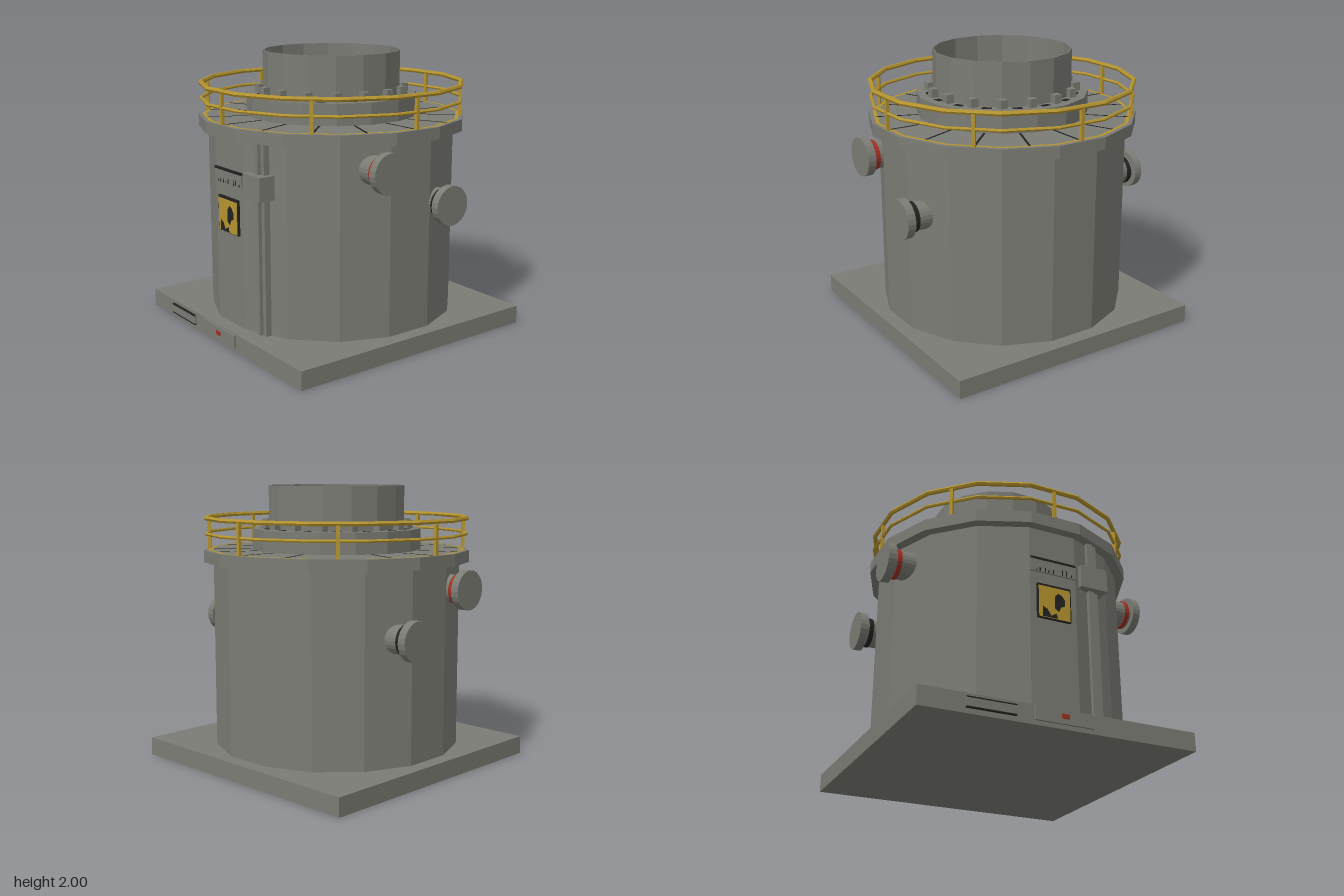
import * as THREE from 'three';

const SIDES = 16;
const STEP = (Math.PI * 2) / SIDES;

export function createModel() {
  const model = new THREE.Group();
  const body = new THREE.Group();
  body.name = 'tankAssembly';
  body.position.z = -0.0125;
  model.add(body);

  const mat = (name, color) => Object.assign(new THREE.MeshStandardMaterial({ color }), { name });
  const grey = mat('weathered grey', 0x7b7c74);
  const yellow = mat('safety yellow', 0xb5942f);
  const dark = mat('near black', 0x222222);
  const red = mat('signal red', 0xa03022);

  // One normal per face, for crisp facets
  const facet = (geo) => {
    const g = geo.index ? geo.toNonIndexed() : geo;
    g.computeVertexNormals();
    return g;
  };
  const add = (name, geo, material, parent = body) => {
    const mesh = new THREE.Mesh(geo, material);
    mesh.name = name;
    parent.add(mesh);
    return mesh;
  };
  // Box given by its limits
  const box = (name, x0, x1, y0, y1, z0, z1, material, parent) => {
    const mesh = add(name, new THREE.BoxGeometry(x1 - x0, y1 - y0, z1 - z0), material, parent);
    mesh.position.set((x0 + x1) / 2, (y0 + y1) / 2, (z0 + z1) / 2);
    return mesh;
  };
  // Sixteen-sided drum with a flat side to the front
  const drum = (name, r, y0, y1) => {
    const geo = new THREE.CylinderGeometry(r, r, y1 - y0, SIDES, 1, false, STEP / 2);
    add(name, facet(geo), grey).position.y = (y0 + y1) / 2;
  };

  // Main volumes
  box('basePlate', -0.977, 0.977, 0, 0.13, -0.977, 0.977, grey);
  drum('tank', 0.89, 0.13, 1.46);
  drum('deck', 0.958, 1.46, 1.545);
  drum('topFlange', 0.612, 1.545, 1.695);

  // Open neck with a thin wall
  const wall = [[0.492, 1.695], [0.492, 2], [0.484, 2], [0.484, 1.695]];
  add('neck', facet(new THREE.LatheGeometry(
    wall.map(([r, y]) => new THREE.Vector2(r, y)), SIDES, STEP / 2)), grey);

  // Bolts, dark slots and deck seams around the neck
  for (let i = 0; i < SIDES; i++) {
    const a = i * STEP;
    const bolt = add('flangeBolt', new THREE.BoxGeometry(0.056, 0.06, 0.056), grey);
    bolt.position.set(0.515 * Math.sin(a + STEP / 2), 1.725, 0.515 * Math.cos(a + STEP / 2));

    const slot = add('flangeSlot', new THREE.BoxGeometry(0.066, 0.002, 0.042), dark);
    slot.position.set(0.523 * Math.sin(a), 1.695, 0.523 * Math.cos(a));
    slot.rotation.y = a;

    const seam = add('deckSeam', new THREE.BoxGeometry(0.016, 0.002, 0.3), dark);
    seam.position.set(0.755 * Math.sin(a), 1.545, 0.755 * Math.cos(a));
    seam.rotation.y = a;
  }

  // Railing
  const railing = new THREE.Group();
  railing.name = 'railing';
  body.add(railing);
  for (const [name, y, tube] of [['topRail', 1.77, 0.017], ['midRail', 1.66, 0.012]]) {
    const ring = new THREE.TorusGeometry(0.938, tube, 6, SIDES);
    ring.rotateX(Math.PI / 2).rotateY(STEP / 2);
    add(name, facet(ring), yellow, railing).position.y = y;
  }
  for (let i = 0; i < 8; i++) {
    const a = (i * Math.PI) / 4;
    const post = add('railPost', new THREE.BoxGeometry(0.024, 0.225, 0.024), yellow, railing);
    post.position.set(0.92 * Math.sin(a), 1.6575, 0.92 * Math.cos(a));
    post.rotation.y = a;
  }
  const edge = new THREE.RingGeometry(0.905, 0.93, SIDES, 1, STEP / 2);
  add('deckEdgeStripe', edge.rotateX(-Math.PI / 2), yellow, railing).position.y = 1.546;

  // Side nozzles, the same on both sides
  const nozzle = (side, y, z, bandMaterial) => {
    const group = new THREE.Group();
    group.name = 'nozzle';
    group.position.set(0, y, z);
    body.add(group);
    const disc = (name, r, x0, x1, material) => {
      const geo = new THREE.CylinderGeometry(r, r, x1 - x0, 24).rotateZ(Math.PI / 2);
      add(name, facet(geo), material, group).position.x = (side * (x0 + x1)) / 2;
    };
    disc('nozzlePipe', 0.1, 0.72, 0.95, grey);
    disc('nozzleBand', 0.106, 0.893, 0.925, bandMaterial);
    disc('nozzleCap', 0.138, 0.942, 1, grey);
  };
  for (const side of [-1, 1]) {
    nozzle(side, 1.295, 0.28, red);
    nozzle(side, 1.005, -0.265, dark);
  }

  // Conduits and junction box
  box('conduitLeft', 0.335, 0.37, 0.13, 1.46, 0.76, 0.835, grey);
  box('conduitRight', 0.288, 0.33, 0.13, 1.46, 0.77, 0.857, grey);
  box('junctionBox', 0.207, 0.412, 1.085, 1.25, 0.78, 0.898, grey);

  // Warning sign with dark marks
  box('signBacking', -0.125, 0.125, 0.79, 1.04, 0.87, 0.89, dark);
  box('signFace', -0.116, 0.116, 0.795, 1.023, 0.888, 0.894, yellow);
  const marks = [
    [[0, 0.87], [0.03, 0.85], [0.045, 0.885], [0.075, 0.9], [0.078, 0.94], [0.055, 0.975], [0.025, 0.985], [0.003, 0.96]],
    [[-0.09, 0.797], [0.02, 0.797], [0.01, 0.835], [-0.03, 0.81], [-0.055, 0.855], [-0.09, 0.872]],
  ];
  for (const points of marks) {
    const shape = new THREE.Shape(points.map(([x, y]) => new THREE.Vector2(x, y)));
    add('signMark', new THREE.ShapeGeometry(shape), dark).position.z = 0.8955;
  }

  // Upper name plate with a dark top edge and small ticks
  box('upperPlate', -0.17, 0.17, 1.13, 1.235, 0.865, 0.885, grey);
  box('upperPlateEdge', -0.17, 0.17, 1.22, 1.236, 0.866, 0.888, dark);
  [[-0.125, 0.01], [-0.1, 0.025], [-0.06, 0.03], [-0.035, 0.015], [0.0, 0.03], [0.07, 0.04], [0.1, 0.04], [0.14, 0.02]]
    .forEach(([x, h]) => box('upperPlateTick', x - 0.004, x + 0.004, 1.135, 1.135 + h, 0.884, 0.887, dark));

  // Base plates on the front edge
  box('baseLabel', -0.668, -0.335, 0.035, 0.105, 0.97, 0.992, grey);
  box('baseLabelTop', -0.668, -0.335, 0.098, 0.106, 0.972, 0.994, dark);
  box('baseLabelBottom', -0.668, -0.335, 0.034, 0.042, 0.972, 0.994, dark);
  box('controlPlate', -0.208, 0.205, 0.03, 0.123, 0.97, 0.992, grey);
  box('controlButton', -0.027, 0.025, 0.064, 0.094, 0.99, 0.997, red);

  return model;
}
